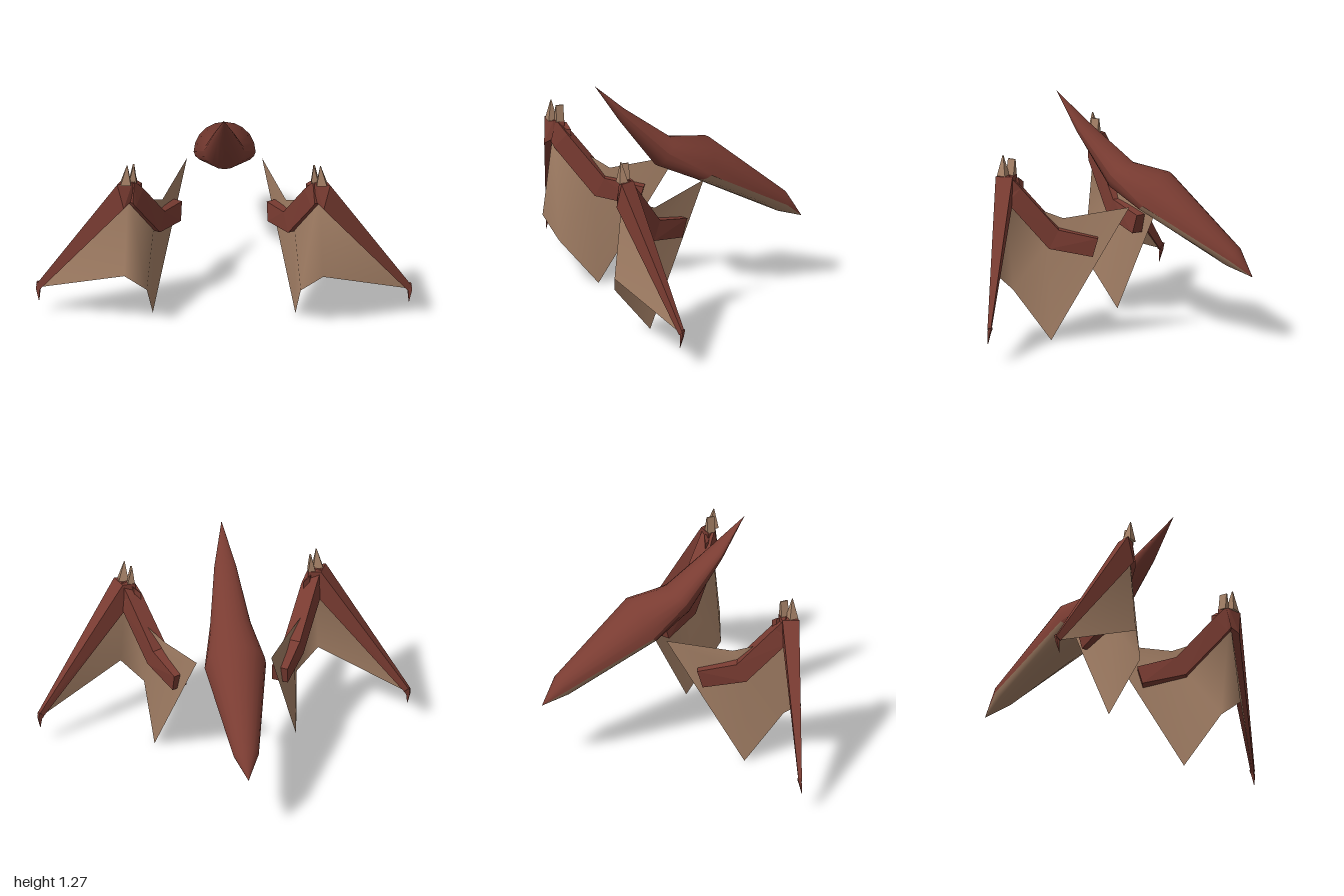
import * as THREE from 'three';

const hide = new THREE.MeshStandardMaterial({ color: 0x7a3c32 });
hide.name = 'maroon hide';
const skin = new THREE.MeshStandardMaterial({ color: 0xa48066, side: THREE.DoubleSide });
skin.name = 'tan skin';

function indexed(points, index) {
  const g = new THREE.BufferGeometry();
  g.setAttribute('position', new THREE.Float32BufferAttribute(points.flat(), 3));
  g.setIndex(index);
  return g;
}

// Reflects a geometry in x and restores its face order
function mirrored(geometry) {
  const g = geometry.clone().scale(-1, 1, 1);
  const ix = g.index.array;
  for (let i = 0; i < ix.length; i += 3) [ix[i + 1], ix[i + 2]] = [ix[i + 2], ix[i + 1]];
  return g;
}

function mesh(geometry, material, name, flat) {
  const g = flat ? geometry.toNonIndexed() : geometry;
  g.computeVertexNormals();
  const m = new THREE.Mesh(g, material);
  m.name = name;
  return m;
}

// Half shell swept over stations {w: half width, side: [y,z], top: [y,z], low: [y,z]}
function shell(stations, key) {
  const N = 10, points = [], index = [];
  for (const s of stations) {
    for (let j = 0; j <= N; j++) {
      const a = Math.PI * j / N, k = Math.sin(a);
      points.push([s.w * Math.cos(a),
        s.side[0] + (s[key][0] - s.side[0]) * k,
        s.side[1] + (s[key][1] - s.side[1]) * k]);
    }
  }
  for (let i = 0; i < stations.length - 1; i++) for (let j = 0; j < N; j++) {
    const a = i * (N + 1) + j, b = a + 1, c = a + N + 1, d = c + 1;
    if (key === 'top') index.push(a, c, b, b, c, d);
    else index.push(a, b, c, b, d, c);
  }
  return indexed(points, index);
}

// Closed four-sided limb; each station is [upper edge, lower edge, half thickness]
function limb(stations, n) {
  const points = [], index = [];
  for (const [up, low, t] of stations) {
    const at = (p, s) => p.map((v, k) => v + n[k] * t * s);
    points.push(at(up, 1), at(up, -1), at(low, -1), at(low, 1));
  }
  for (let i = 0; i < stations.length - 1; i++) for (let j = 0; j < 4; j++) {
    const a = i * 4 + j, b = i * 4 + (j + 1) % 4;
    index.push(a, b, a + 4, b, b + 4, a + 4);
  }
  const e = (stations.length - 1) * 4;
  index.push(0, 2, 1, 0, 3, 2, e, e + 1, e + 2, e, e + 2, e + 3);
  // Turn the faces outward, judged by the enclosed volume
  let volume = 0;
  const v = points.map(p => new THREE.Vector3(...p));
  for (let i = 0; i < index.length; i += 3)
    volume += v[index[i]].dot(v[index[i + 1]].clone().cross(v[index[i + 2]]));
  return indexed(points, volume < 0 ? index.reverse() : index);
}

export function createModel() {
  const model = new THREE.Group();
  model.name = 'wingedCreature';

  // Body: domed back above, belly below
  const nose = { w: 0, side: [1.27, 0.545], top: [1.27, 0.545], low: [1.27, 0.545] };
  const neck = { w: 0.058, side: [1.09, 0.385], top: [1.12, 0.375], low: [1.05, 0.4] };
  const chest = { w: 0.108, side: [0.87, 0.16], top: [0.92, 0.105], low: [0.78, 0.2] };
  const hip = { w: 0.165, side: [0.74, -0.06], top: [0.895, -0.11], low: [0.69, 0] };
  const rump = { w: 0.068, side: [0.475, -0.53], top: [0.53, -0.545], low: [0.43, -0.49] };
  const tail = { w: 0, side: [0.38, -0.637], top: [0.38, -0.637], low: [0.38, -0.637] };
  const body = new THREE.Group();
  body.name = 'body';
  body.add(
    mesh(shell([nose, neck, chest, hip, rump, tail], 'top'), hide, 'back'),
    mesh(shell([nose, neck, chest, hip], 'low'), hide, 'throat'),
    mesh(shell([hip, rump, tail], 'low'), skin, 'belly'));
  model.add(body);

  // Wing membrane, folded along the wrist and the elbow
  const membrane = indexed([
    [0.51, 0.88, 0.58], [0.98, 0.185, 0.43], [0.53, 0.37, 0.637], [0.41, 0.26, 0.59],
    [0.38, 0, 0.375], [0.2, 0.735, 0.0], [0.33, 0.665, 0.33], [0.45, 0.74, 0.45],
    [0.375, 0.53, 0.4]],
  [0, 2, 1, 0, 3, 2, 0, 8, 3, 3, 8, 4, 0, 7, 8, 7, 6, 8, 6, 5, 8, 5, 4, 8]);

  // Each part: geometry, material, name, flat shading
  const parts = [
    [membrane, skin, 'membrane', false],
    [limb([
      [[0.265, 0.57, 0.155], [0.27, 0.467, 0.185], 0.045],
      [[0.355, 0.615, 0.345], [0.38, 0.512, 0.39], 0.045],
      [[0.465, 0.85, 0.515], [0.505, 0.77, 0.575], 0.042],
      [[0.505, 0.92, 0.565], [0.515, 0.8, 0.59], 0.035],
    ], [0.87, 0, -0.49]), hide, 'arm', true],
    [limb([
      [[0.475, 0.915, 0.565], [0.475, 0.81, 0.565], 0.03],
      [[0.55, 0.915, 0.57], [0.515, 0.775, 0.585], 0.045],
      [[0.999, 0.2, 0.425], [0.975, 0.18, 0.435], 0.009],
    ], [0.4, 0, 0.92]), hide, 'wingFinger', true],
    [limb([
      [[0.995, 0.215, 0.42], [0.97, 0.19, 0.43], 0.009],
      [[0.999, 0.175, 0.428], [0.98, 0.17, 0.432], 0.007],
      [[0.986, 0.11, 0.44], [0.984, 0.11, 0.44], 0.001],
    ], [0.4, 0, 0.92]), hide, 'tipClaw', true],
    [limb([
      [[0.55, 0.91, 0.59], [0.495, 0.91, 0.59], 0.025],
      [[0.517, 1.023, 0.595], [0.513, 1.023, 0.595], 0.002],
    ], [0, 0, 1]), skin, 'longClaw', true],
    [limb([
      [[0.505, 0.91, 0.56], [0.465, 0.91, 0.56], 0.022],
      [[0.485, 1.0, 0.56], [0.477, 1.0, 0.56], 0.021],
    ], [0, 0, 1]), skin, 'shortClaw', true],
    [limb([
      [[0.485, 0.9, 0.545], [0.475, 0.82, 0.545], 0.025],
      [[0.442, 0.87, 0.522], [0.442, 0.83, 0.522], 0.012],
    ], [0.4, 0, 0.92]), hide, 'thumb', true],
  ];
  for (const side of ['left', 'right']) {
    const wing = new THREE.Group();
    wing.name = side + 'Wing';
    for (const [g, material, name, flat] of parts)
      wing.add(mesh(side === 'left' ? g.clone() : mirrored(g), material, name, flat));
    model.add(wing);
  }
  return model;
}
